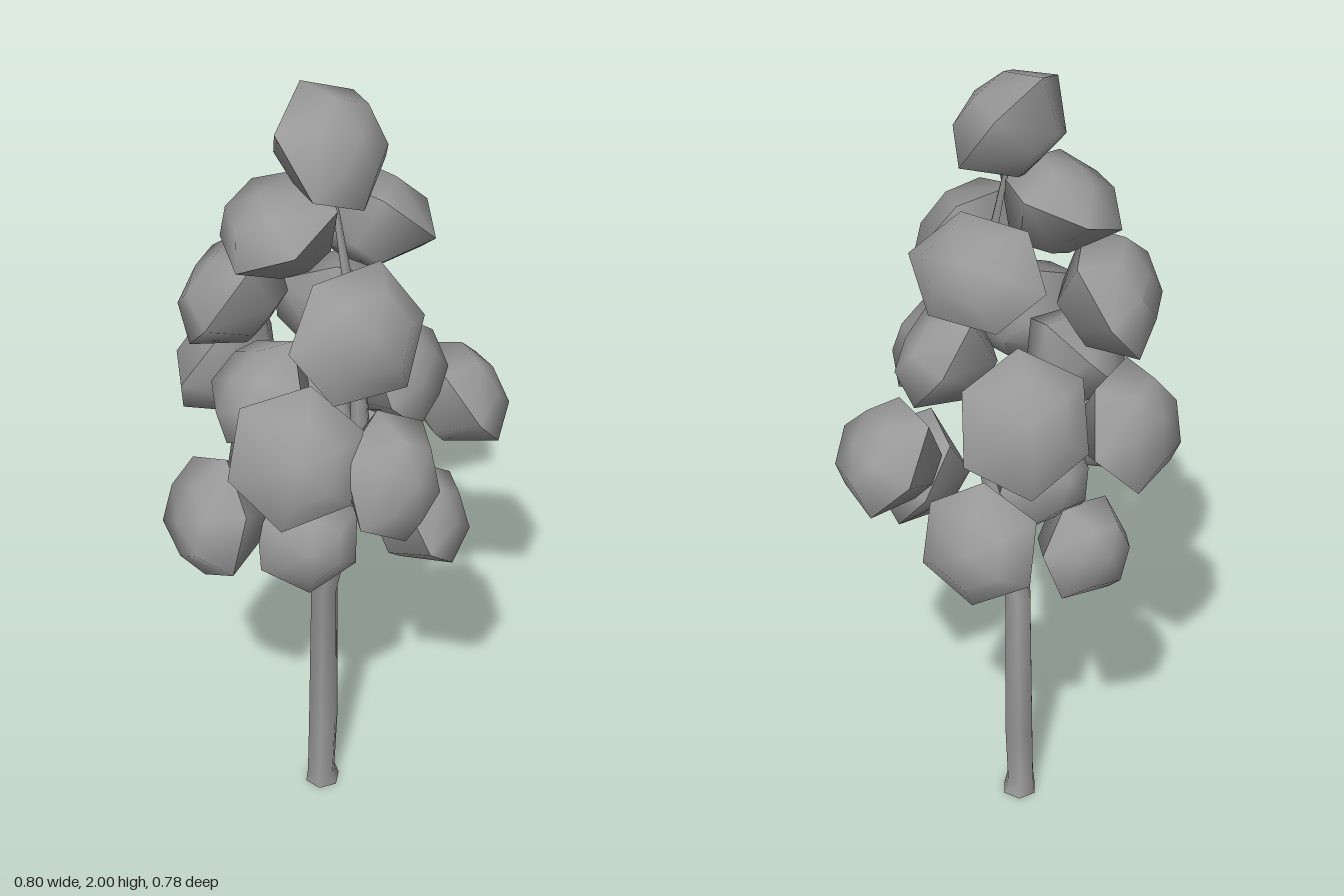
import * as THREE from 'three';
import { toCreasedNormals } from 'three/addons/utils/BufferGeometryUtils.js';

const grey = new THREE.MeshStandardMaterial({ color: 0x999999 });
grey.name = 'plain grey';

const rad = THREE.MathUtils.degToRad;

// small seeded random for irregular clumps
let seed = 11;
const rand = () => {
  seed = (seed * 16807) % 2147483647;
  return seed / 2147483647;
};

// six-sided foliage clump: rounded front, frustum back, hard rim; faces +z, long axis y
function clumpGeometry() {
  const profile = [[0, -0.66], [0.48, -0.62], [1, 0], [0.6, 0.46], [0, 0.58]]
    .map(([r, y]) => new THREE.Vector2(r, y));
  const geo = new THREE.LatheGeometry(profile, 6);
  const radii = Array.from({ length: 6 }, () => 0.96 + rand() * 0.1);
  const lifts = Array.from({ length: 6 }, () => (rand() - 0.5) * 0.12);
  const p = geo.attributes.position;
  const n = profile.length;
  for (let i = 0; i < p.count; i++) {
    const side = Math.floor(i / n) % 6;
    const ring = i % n;
    if (ring === 0 || ring === n - 1) continue;
    p.setXYZ(i, p.getX(i) * radii[side], p.getY(i) + lifts[side], p.getZ(i) * radii[side]);
  }
  return toCreasedNormals(geo.rotateX(Math.PI / 2), rad(58));
}

// tapered trunk from six-sided rings [x, y, z, radius]
function trunkGeometry(rings) {
  const sides = 6, pos = [], index = [];
  rings.forEach(([x, y, z, r]) => {
    for (let s = 0; s < sides; s++) {
      const a = (s / sides) * Math.PI * 2;
      pos.push(x + r * Math.sin(a), y, z + r * Math.cos(a));
    }
  });
  for (let k = 0; k < rings.length - 1; k++) {
    for (let s = 0; s < sides; s++) {
      const a = k * sides + s, b = k * sides + (s + 1) % sides;
      index.push(a, b, b + sides, a, b + sides, a + sides);
    }
  }
  // end caps
  const top = (rings.length - 1) * sides;
  for (let s = 1; s < sides - 1; s++) {
    index.push(0, s + 1, s, top, top + s, top + s + 1);
  }
  const geo = new THREE.BufferGeometry();
  geo.setAttribute('position', new THREE.Float32BufferAttribute(pos, 3));
  geo.setIndex(index);
  return toCreasedNormals(geo, rad(65));
}

// each clump: x, y, z, heading, upward tilt, roll (degrees), half length, half width
const topTier = [
  [-0.01, 1.87, 0.04, 0, 34, 0, 0.16, 0.13],
  [0.18, 1.6, 0, 90, 38, 90, 0.17, 0.12],
  [-0.11, 1.505, 0.19, -24, 27, 90, 0.17, 0.14],
  [-0.075, 1.67, -0.055, -127, 60, 90, 0.15, 0.13],
  [-0.1, 1.46, -0.18, -155, 34, 90, 0.17, 0.135],
];
const middleTier = [
  [-0.26, 1.24, 0.14, -47, 25, -13, 0.16, 0.14],
  [-0.11, 1.17, 0.29, -12, 19, 0, 0.165, 0.115],
  [0.29, 1.13, 0.18, 54, 35, 90, 0.14, 0.125],
  [0.09, 1.295, 0.15, 27, 29, -21, 0.145, 0.12],
  [0.225, 1.29, -0.14, 130, 30, 0, 0.165, 0.14],
  [-0.01, 1.195, -0.28, 180, 27, 90, 0.165, 0.14],
  [-0.13, 1.25, -0.07, -113, 38, 0, 0.14, 0.12],
];
const lowerTier = [
  [-0.29, 0.985, -0.08, -112, 12, 0, 0.155, 0.13],
  [-0.16, 0.92, 0.09, -45, 19, 0, 0.13, 0.115],
  [0.065, 0.945, 0.25, 43, 32, 90, 0.155, 0.12],
  [0.26, 0.95, -0.04, 102, 18, 0, 0.145, 0.13],
  [0.09, 0.9, -0.22, 159, 12, 20, 0.13, 0.11],
  [0.1, 1.07, -0.12, 160, 18, 90, 0.12, 0.11],
];

function foliageTier(name, clumps) {
  const tier = new THREE.Group();
  tier.name = name;
  for (const [x, y, z, heading, tilt, roll, length, width] of clumps) {
    const clump = new THREE.Mesh(clumpGeometry(), grey);
    clump.name = 'leafClump';
    clump.position.set(x, y, z);
    clump.rotation.set(-rad(tilt), rad(heading), rad(roll), 'YXZ');
    clump.scale.set(width * 1.12, length, 0.165);
    tier.add(clump);
  }
  return tier;
}

export function createModel() {
  const model = new THREE.Group();
  model.name = 'tree';

  const trunk = new THREE.Mesh(trunkGeometry([
    [0.005, 0, 0, 0.044], [0.0, 0.04, 0, 0.036], [0.008, 0.2, 0, 0.038], [0.012, 0.62, 0, 0.034],
    [-0.01, 0.86, 0.07, 0.03], [-0.02, 1.12, 0.13, 0.025],
    [-0.02, 1.4, 0.12, 0.016], [-0.01, 1.76, 0.04, 0.006],
  ]), grey);
  trunk.name = 'trunk';
  model.add(trunk);

  model.add(
    foliageTier('topFoliage', topTier),
    foliageTier('middleFoliage', middleTier),
    foliageTier('lowerFoliage', lowerTier),
  );
  return model;
}
